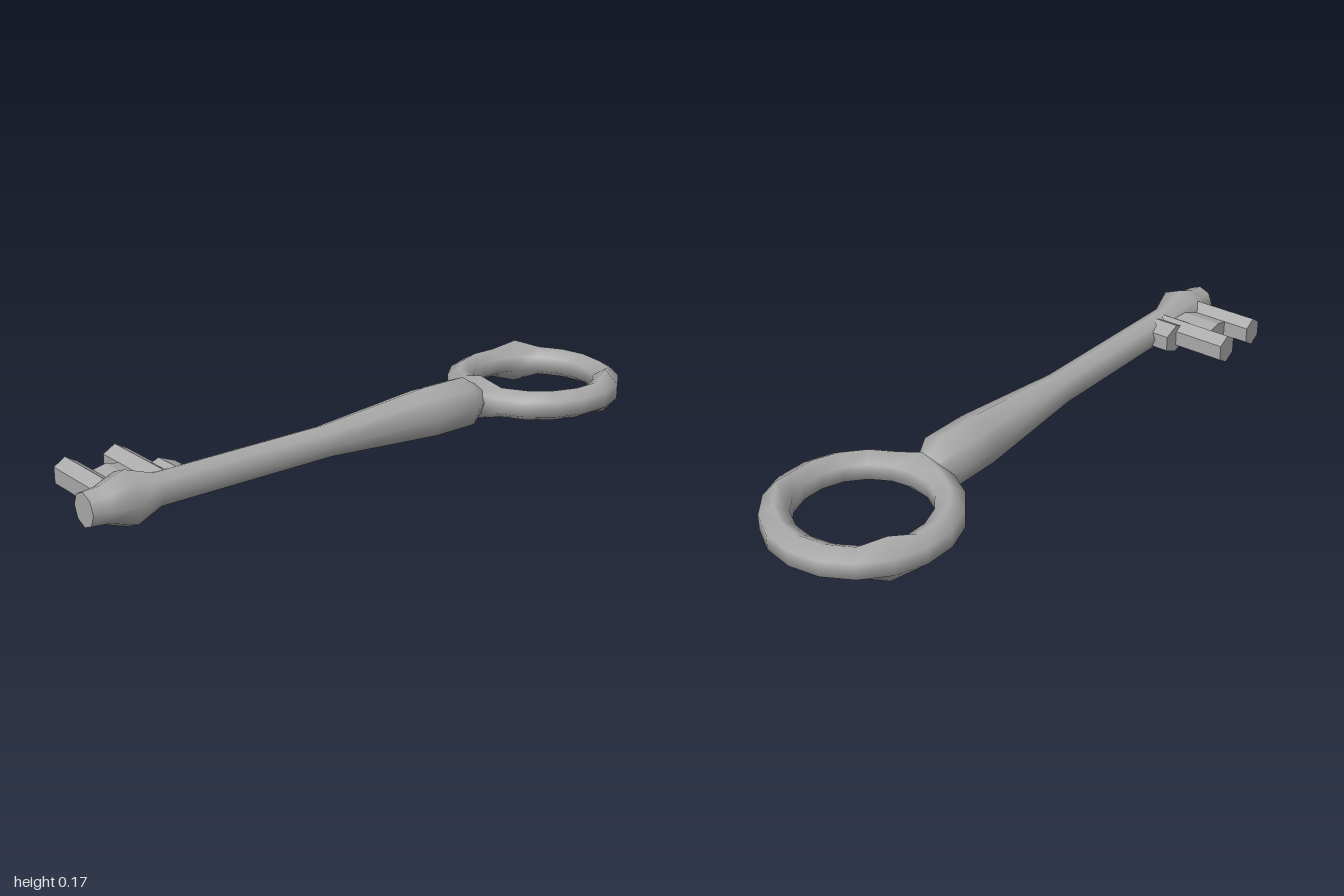
import * as THREE from 'three';

const AXIS_Y = 0.086;

// Hexagon-section ring lying flat, with three pairs of pointed knobs
function ringGeometry(radius, tube, segments, sides) {
  const pos = [], index = [];
  for (let i = 0; i < segments; i++) {
    const a = (i / segments) * Math.PI * 2;
    const knob = i % 6 === 3; // 60, 180 and 300 degrees
    for (let j = 0; j < sides; j++) {
      const b = ((j + 0.5) / sides) * Math.PI * 2;
      const r = radius + tube * Math.cos(b);
      const tip = knob && j % 3 === 1 ? 1.47 : 1;
      pos.push(r * Math.cos(a), tube * Math.sin(b) * tip, r * Math.sin(a));
      const n = ((i + 1) % segments) * sides, m = i * sides, k = (j + 1) % sides;
      index.push(m + j, m + k, n + j, n + j, m + k, n + k);
    }
  }
  const g = new THREE.BufferGeometry();
  g.setAttribute('position', new THREE.Float32BufferAttribute(pos, 3));
  g.setIndex(index);
  g.computeVertexNormals();
  return g;
}

// Prism running back from the shaft, with a ridge along its top and bottom
function ridgedPrism(x0, x1, depth, side, ridge) {
  const mid = (x0 + x1) / 2;
  const shape = new THREE.Shape([
    [x0, -side], [mid, -ridge], [x1, -side], [x1, side], [mid, ridge], [x0, side],
  ].map(([x, y]) => new THREE.Vector2(x, y)));
  const g = new THREE.ExtrudeGeometry(shape, { depth, bevelEnabled: false });
  return g.translate(0, 0, -depth);
}

export function createModel() {
  const group = new THREE.Group();
  const metal = new THREE.MeshStandardMaterial({ color: 0xaaaaaa });
  metal.name = 'grey metal';

  const add = (name, geometry, x = 0) => {
    const mesh = new THREE.Mesh(geometry, metal);
    mesh.name = name;
    mesh.position.set(x, AXIS_Y, 0);
    group.add(mesh);
    return mesh;
  };

  // Shaft: collar near the tip, thick grip near the ring
  const profile = [
    [0.052, -1], [0.058, -0.945], [0.085, -0.87], [0.052, -0.78], [0.053, -0.18],
    [0.085, 0.22], [0.085, 0.385], [0.045, 0.45],
  ].map(([r, y]) => new THREE.Vector2(r, y));
  add('shaft', new THREE.LatheGeometry(profile, 8)).rotation.z = -Math.PI / 2;

  // Flat ends of the shaft
  add('tipCap', new THREE.CircleGeometry(0.052, 8), -1).rotation.y = -Math.PI / 2;
  add('neckCap', new THREE.CircleGeometry(0.045, 8), 0.45).rotation.y = Math.PI / 2;

  // Handle ring
  add('handleRing', ringGeometry(0.244, 0.05, 18, 6), 0.71);

  // Bit: two teeth, the web between them and a short foot
  add('outerTooth', ridgedPrism(-0.94, -0.865, 0.275, 0.025, 0.048));
  add('innerTooth', ridgedPrism(-0.78, -0.7, 0.275, 0.025, 0.048));
  add('bitWeb', ridgedPrism(-0.865, -0.78, 0.187, 0.025, 0.034));
  add('bitFoot', ridgedPrism(-0.755, -0.645, 0.1, 0.025, 0.048));

  return group;
}
